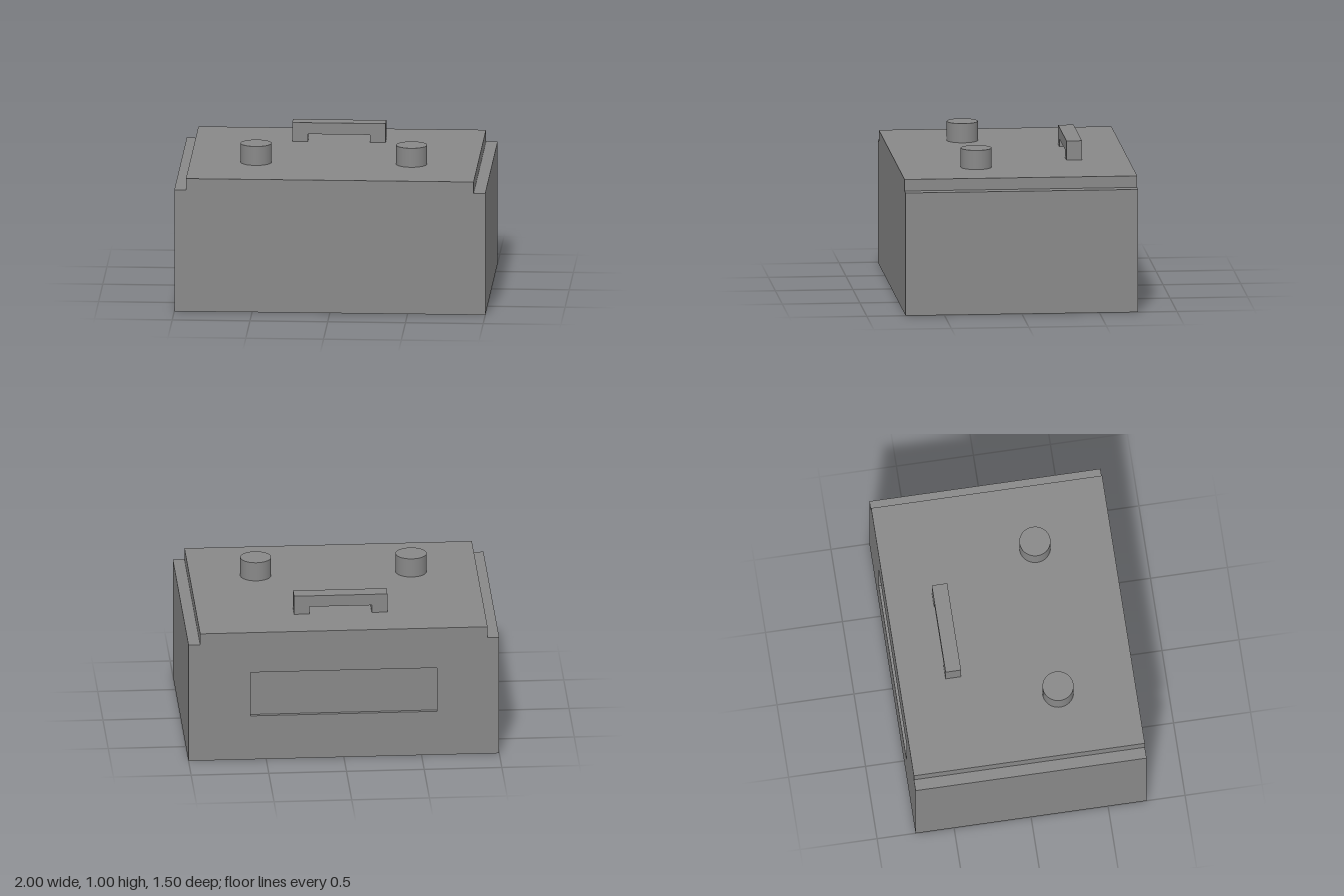
import * as THREE from 'three';
import { mergeGeometries } from 'three/addons/utils/BufferGeometryUtils.js';

const W = 1, D = 0.75, SHOULDER = 0.8, TOP = 0.875, FULL = 1;

function polygon(points) {
  return new THREE.Shape(points.map(([x, y]) => new THREE.Vector2(x, y)));
}

function extrude(shape, depth, z) {
  const geo = new THREE.ExtrudeGeometry(shape, { depth, bevelEnabled: false });
  return geo.translate(0, 0, z);
}

// Position-only copy of a geometry, leaving out the faces that look towards -z
function withoutBack(source) {
  const geo = source.index ? source.toNonIndexed() : source;
  const p = geo.attributes.position, n = geo.attributes.normal, kept = [];
  for (let i = 0; i < p.count; i++) {
    if (n.getZ(i) > -0.5) kept.push(p.getX(i), p.getY(i), p.getZ(i));
  }
  const out = new THREE.BufferGeometry();
  out.setAttribute('position', new THREE.Float32BufferAttribute(kept, 3));
  return out;
}

// Case with stepped side edges and a shallow recess sunk into the back
function caseGeometry() {
  const profile = [
    [-W, 0], [W, 0], [W, SHOULDER], [0.925, SHOULDER], [0.925, TOP],
    [-0.925, TOP], [-0.925, SHOULDER], [-W, SHOULDER],
  ];
  const shell = withoutBack(extrude(polygon(profile), 2 * D, -D));

  // Back wall with the recess opening
  const wall = polygon(profile);
  wall.holes.push(polygon([[-0.6, 0.3], [-0.6, 0.6], [0.6, 0.6], [0.6, 0.3]]));
  const back = withoutBack(new THREE.ShapeGeometry(wall)).rotateY(Math.PI).translate(0, 0, -D);

  // Recess walls and floor: an open box mirrored so its faces look inward
  const depth = 0.025;
  const recess = withoutBack(new THREE.BoxGeometry(1.2, 0.3, depth))
    .scale(-1, 1, 1).translate(0, 0.45, -D + depth / 2);

  const geo = mergeGeometries([shell, back, recess]);
  geo.computeVertexNormals();
  return geo;
}

export function createModel() {
  const group = new THREE.Group();
  const grey = new THREE.MeshStandardMaterial({ color: 0x888888 });
  grey.name = 'grey';

  const add = (name, geo) => {
    const mesh = new THREE.Mesh(geo, grey);
    mesh.name = name;
    group.add(mesh);
    return mesh;
  };

  add('case', caseGeometry());

  // Bridge-shaped handle near the back
  add('handle', extrude(polygon([
    [-0.3, TOP], [-0.2, TOP], [-0.2, 0.925], [0.2, 0.925],
    [0.2, TOP], [0.3, TOP], [0.3, FULL], [-0.3, FULL],
  ]), 0.1, -0.45));

  // Pair of round terminals near the front
  for (const [name, x] of [['rightTerminal', -0.5], ['leftTerminal', 0.5]]) {
    const h = FULL - TOP;
    add(name, new THREE.CylinderGeometry(0.1, 0.1, h, 48)).position.set(x, TOP + h / 2, 0.25);
  }

  return group;
}
